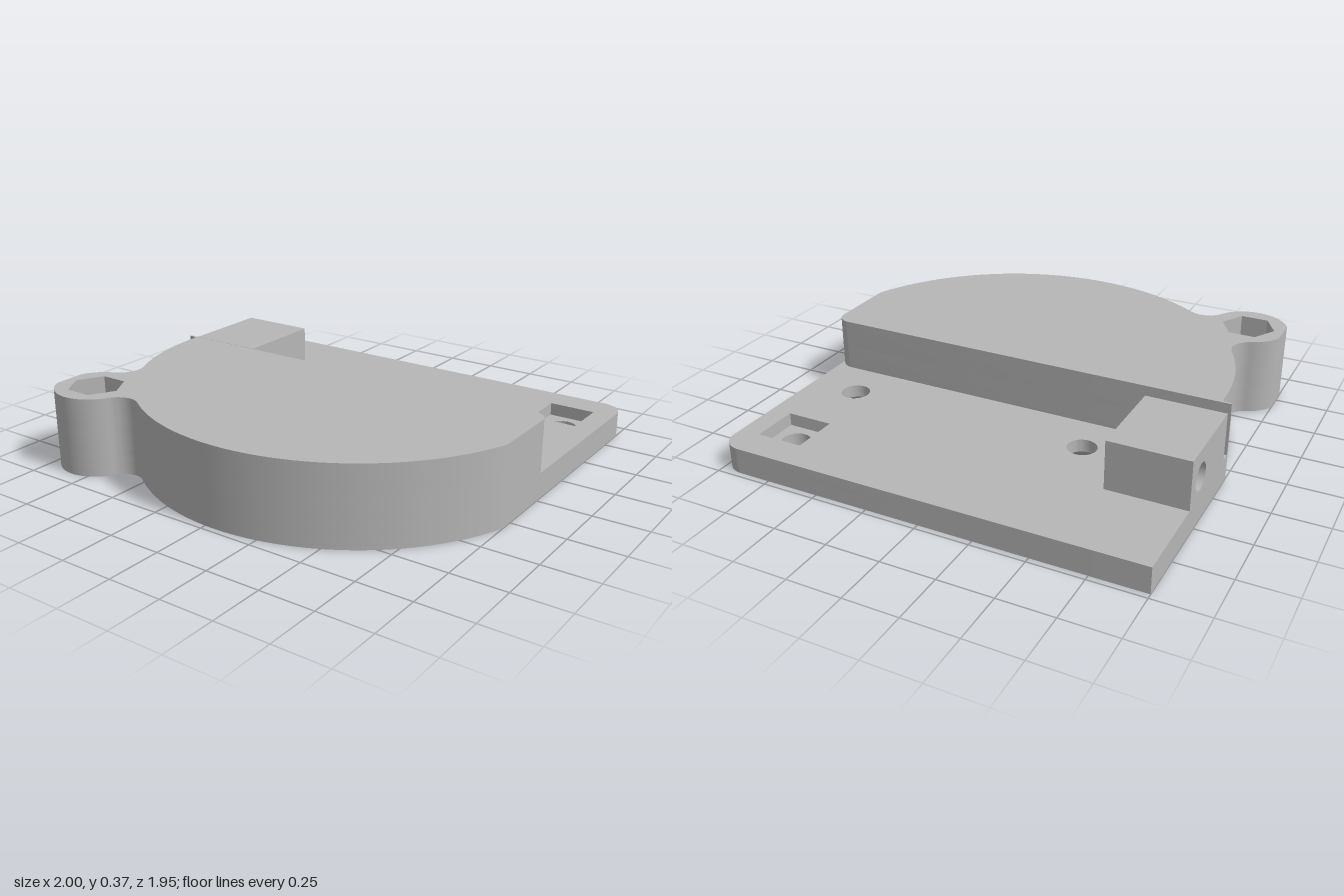
import * as THREE from 'three';
import { toCreasedNormals } from 'three/addons/utils/BufferGeometryUtils.js';

const BASE_TOP = 0.12, POCKET_Y = 0.06, BODY_TOP = 0.365, BLOCK_TOP = 0.345, HEX_Y = 0.235;
const HOLE_R = 0.067, SINK_R = 0.14;

// Points along an arc in plan (x, z)
function arc(c, r, a0, a1, n = 16) {
  return Array.from({ length: n + 1 }, (_, i) => {
    const a = a0 + (a1 - a0) * i / n;
    return new THREE.Vector2(c.x + r * Math.cos(a), c.y + r * Math.sin(a));
  });
}
const v = (x, z) => new THREE.Vector2(x, z);
const angle = (from, to) => Math.atan2(to.y - from.y, to.x - from.x);
const polygonHole = (x, z, r, n) => new THREE.Path(arc(v(x, z), r, 0, Math.PI * 2, n).slice(0, n));
const roundHole = (x, z, r = HOLE_R) => polygonHole(x, z, r, 40);

// Large disc, screw ear and the two fillets that blend them
function discEdge() {
  const disc = v(0.052, -0.04), R = 1.008, ear = v(-0.83, 0.735), r = 0.185, f = 0.1;
  const d = disc.distanceTo(ear);
  const turn = Math.acos((d * d + (R + f) ** 2 - (r + f) ** 2) / (2 * d * (R + f)));
  const toEar = angle(disc, ear);
  const [f2, f1] = [-turn, turn].map(t => v(
    disc.x + (R + f) * Math.cos(toEar + t), disc.y + (R + f) * Math.sin(toEar + t)));
  const earEnd = angle(ear, f1) + Math.PI * 2;
  return [
    ...arc(disc, R, Math.atan2(0.345, 0.948), toEar - turn, 64),
    ...arc(f2, f, angle(f2, disc), angle(f2, ear)).slice(1),
    ...arc(ear, r, angle(ear, f2), earEnd, 48).slice(1).map(p => v(Math.max(p.x, -1), p.y)),
    ...arc(f1, f, angle(f1, ear), angle(f1, disc)).slice(1),
    ...arc(disc, R, toEar + turn, Math.PI, 24).slice(1),
    v(-0.956, -0.06), v(-0.965, -0.072), v(-1, -0.078),
  ];
}

// Extrude a plan outline between two heights
function layer(points, holes, y0, y1) {
  const shape = new THREE.Shape(points);
  shape.holes.push(...holes);
  const g = new THREE.ExtrudeGeometry(shape, { depth: y1 - y0, bevelEnabled: false });
  g.rotateX(Math.PI / 2).translate(0, y1, 0);
  return toCreasedNormals(g, 0.5);
}

export function createModel() {
  const group = new THREE.Group();
  const grey = new THREE.MeshStandardMaterial({ color: 0xb6b6b6, side: THREE.DoubleSide });
  grey.name = 'grey';
  const add = (name, geometry) => {
    const mesh = new THREE.Mesh(geometry, grey);
    mesh.name = name;
    group.add(mesh);
    return mesh;
  };

  const edge = discEdge();
  const baseOutline = [v(-1, -0.98), ...arc(v(0.9, -0.88), 0.1, -Math.PI / 2, 0), ...edge];
  const bodyOutline = [v(-1, -0.085), ...arc(v(0.93, -0.015), 0.07, -Math.PI / 2, 0), ...edge];
  const screws = [[0.755, -0.3], [-0.42, -0.3]];
  const corner = [0.79, -0.725], ear = [-0.83, 0.735];

  // Base plate: countersinks below, square nut pocket above
  add('basePlateLower', layer(baseOutline,
    [...screws.map(([x, z]) => roundHole(x, z, SINK_R)), roundHole(...corner), roundHole(...ear)],
    0, POCKET_Y));
  const s = 0.11, [cx, cz] = corner;
  const pocket = new THREE.Path([v(cx - s, cz - s), v(cx + s, cz - s), v(cx + s, cz + s), v(cx - s, cz + s)]);
  add('basePlateUpper', layer(baseOutline,
    [...screws.map(([x, z]) => roundHole(x, z)), pocket, roundHole(...ear)], POCKET_Y, BASE_TOP));
  for (const [x, z] of screws) {
    const cone = new THREE.CylinderGeometry(HOLE_R, SINK_R, POCKET_Y, 40, 1, true);
    // Turn the cone inside out so that it faces into the hole
    const idx = cone.index.array;
    for (let i = 0; i < idx.length; i += 3) [idx[i], idx[i + 1]] = [idx[i + 1], idx[i]];
    cone.computeVertexNormals();
    add('countersink', cone).position.set(x, POCKET_Y / 2, z);
  }

  // Raised round body with a hexagonal nut pocket in the ear
  add('roundBodyLower', layer(bodyOutline, [roundHole(...ear)], BASE_TOP, HEX_Y));
  add('roundBodyUpper', layer(bodyOutline, [polygonHole(...ear, 0.127, 6)], HEX_Y, BODY_TOP));

  // Side block with a blind hole in its outer face
  const blockX0 = -1, blockX1 = -0.635, holeEnd = -0.72;
  const z0 = -0.57, z1 = -0.135;
  const section = [v(z0, BASE_TOP), v(z1, BASE_TOP), v(z1, BLOCK_TOP), v(z0, BLOCK_TOP)];
  const drilled = new THREE.Shape(section);
  drilled.holes.push(roundHole(-0.455, 0.215, 0.062));
  const front = new THREE.ExtrudeGeometry(drilled, { depth: holeEnd - blockX0, bevelEnabled: false });
  front.rotateY(-Math.PI / 2).translate(holeEnd, 0, 0);
  add('sideBlockDrilled', toCreasedNormals(front, 0.5));
  const back = new THREE.BoxGeometry(blockX1 - holeEnd, BLOCK_TOP - BASE_TOP, z1 - z0);
  add('sideBlockEnd', back).position.set((blockX1 + holeEnd) / 2, (BLOCK_TOP + BASE_TOP) / 2, (z0 + z1) / 2);

  for (const part of group.children) part.position.z += 0.006;
  return group;
}
